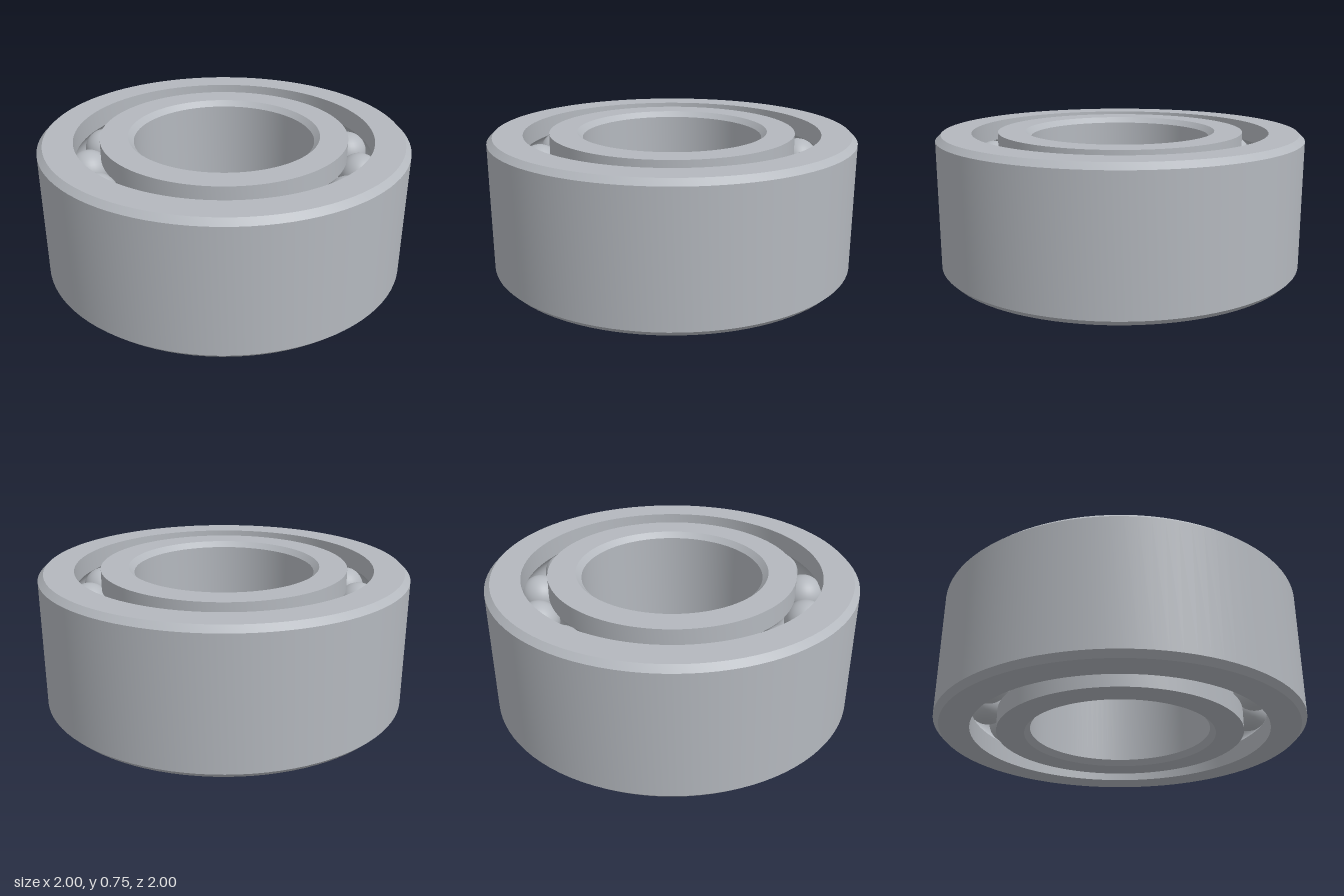
import * as THREE from 'three';
import { toCreasedNormals } from 'three/addons/utils/BufferGeometryUtils.js';

const HEIGHT = 0.75, CHAMFER = 0.03;
const PITCH = 0.74, BALL_R = 0.112, GROOVE_R = 0.114, HALF_GAP = 0.07;
const ROWS = [0.2, 0.55];
const BALLS = 15;

// Points of one raceway groove, from bottom to top; side +1 cuts outward, -1 inward
function groove(y, side) {
  const a = Math.acos(HALF_GAP / GROOVE_R), pts = [];
  for (let i = 0; i <= 10; i++) {
    const t = -a + (2 * a * i) / 10;
    pts.push([PITCH + side * GROOVE_R * Math.cos(t), y + GROOVE_R * Math.sin(t)]);
  }
  return pts;
}

// Raceway wall from bottom face to top face
function raceway(side) {
  const r = PITCH + side * HALF_GAP;
  return [[r, 0], ...ROWS.flatMap((y) => groove(y, side)), [r, HEIGHT]];
}

// Chamfered plain wall from bottom to top; side +1 faces outward, -1 faces the bore
function plainWall(r, side) {
  const c = side * CHAMFER;
  return [[r - c, 0], [r, CHAMFER], [r, HEIGHT - CHAMFER], [r - c, HEIGHT]];
}

// Closed ring: outer wall goes up, inner wall comes back down
function ring(name, outerWall, innerWall, material) {
  const profile = [...outerWall, ...innerWall.reverse(), outerWall[0]];
  const lathe = new THREE.LatheGeometry(profile.map(([r, y]) => new THREE.Vector2(r, y)), 96);
  const mesh = new THREE.Mesh(toCreasedNormals(lathe, Math.PI / 6), material);
  mesh.name = name;
  return mesh;
}

export function createModel() {
  const steel = new THREE.MeshStandardMaterial({ color: 0xb4b8be });
  steel.name = 'steel';
  const model = new THREE.Group();
  model.name = 'ballBearing';

  // Outer and inner rings
  model.add(ring('outerRing', plainWall(1, 1), raceway(1), steel));
  model.add(ring('innerRing', raceway(-1), plainWall(0.49, -1), steel));

  // Two rows of balls
  const ballGeometry = new THREE.SphereGeometry(BALL_R, 32, 20);
  ROWS.forEach((y, row) => {
    const group = new THREE.Group();
    group.name = row ? 'upperBallRow' : 'lowerBallRow';
    for (let i = 0; i < BALLS; i++) {
      const a = (i / BALLS) * Math.PI * 2;
      const ball = new THREE.Mesh(ballGeometry, steel);
      ball.name = 'ball';
      ball.position.set(PITCH * Math.cos(a), y, PITCH * Math.sin(a));
      group.add(ball);
    }
    model.add(group);
  });
  return model;
}
